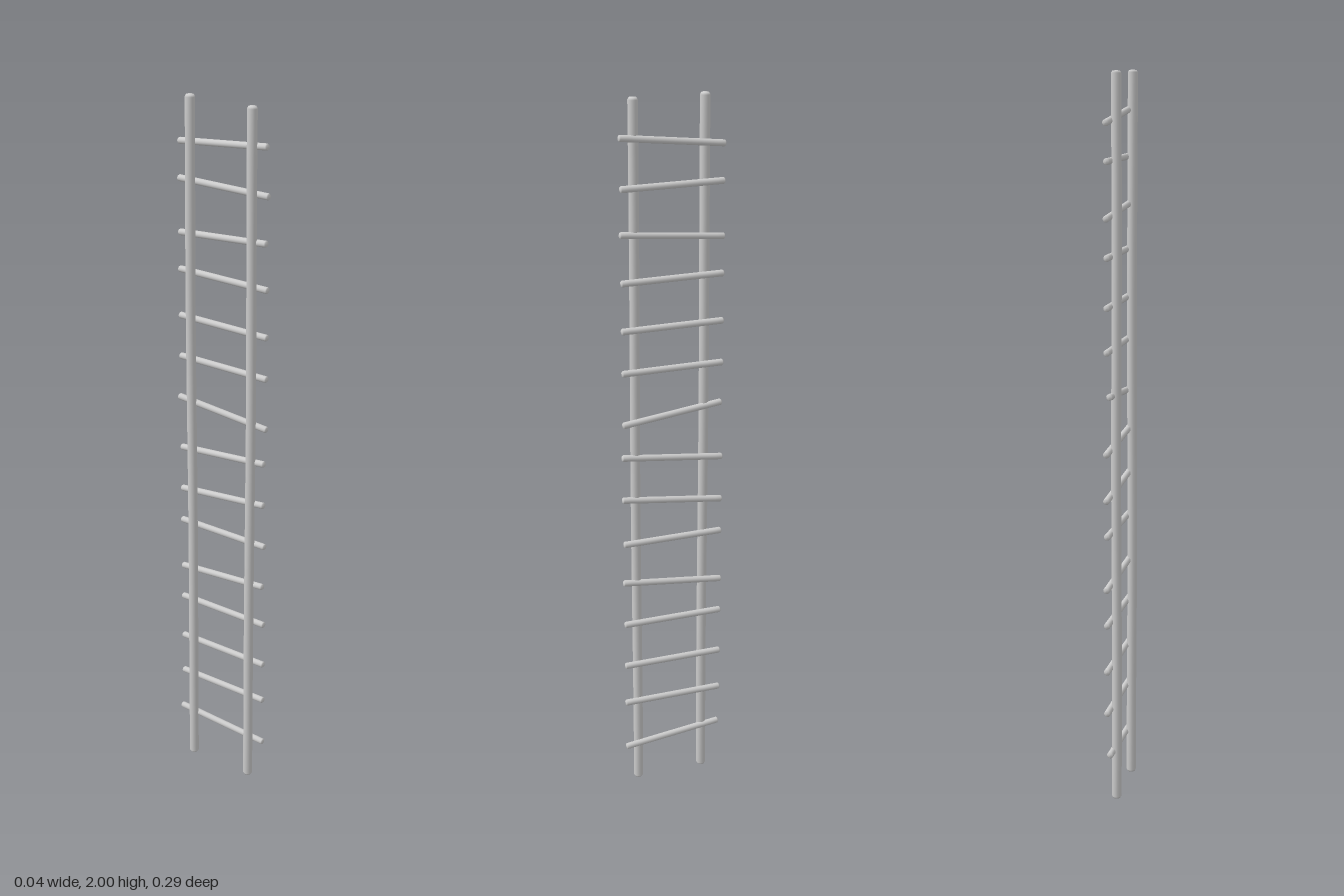
import * as THREE from 'three';

const material = new THREE.MeshStandardMaterial({ color: 0xcccccc });

// Round stick along y, centred, with softly rounded ends and a slight natural wobble
function stick(name, radius, length, round, wobble, phase) {
  const h = length / 2;
  const profile = [new THREE.Vector2(0, -h), new THREE.Vector2(radius * 0.75, -h + round * 0.2), new THREE.Vector2(radius, -h + round)];
  const steps = 16;
  for (let i = 1; i < steps; i++) profile.push(new THREE.Vector2(radius, -h + round + (length - 2 * round) * i / steps));
  profile.push(new THREE.Vector2(radius, h - round), new THREE.Vector2(radius * 0.75, h - round * 0.2), new THREE.Vector2(0, h));
  const geometry = new THREE.LatheGeometry(profile, 14);
  const p = geometry.attributes.position;
  for (let i = 0; i < p.count; i++) {
    const y = p.getY(i);
    p.setX(i, p.getX(i) + wobble * Math.sin(y * 5 + phase));
    p.setZ(i, p.getZ(i) + wobble * Math.cos(y * 4 + phase));
  }
  const mesh = new THREE.Mesh(geometry, material);
  mesh.name = name;
  return mesh;
}

export function createModel() {
  const ladder = new THREE.Group();
  ladder.name = 'ladder';

  // Two upright poles
  [['frontPole', 0.102, 0], ['backPole', -0.094, 2]].forEach(([name, z, phase]) => {
    const pole = stick(name, 0.0135, 2, 0.007, 0.001, phase);
    pole.position.set(-0.007, 1, z);
    ladder.add(pole);
  });

  // Rungs across the +x side: height at the front end and at the back end
  const rungs = [
    [0.12, 0.145], [0.265, 0.265], [0.385, 0.385], [0.517, 0.517], [0.645, 0.617],
    [0.768, 0.768], [0.9, 0.867], [1.025, 0.995], [1.123, 1.153], [1.27, 1.27],
    [1.388, 1.388], [1.52, 1.52], [1.648, 1.622], [1.77, 1.77], [1.9, 1.868],
  ];
  const up = new THREE.Vector3(0, 1, 0);
  rungs.forEach(([yFront, yBack], i) => {
    // Crooked rungs lean so that the lower end stands further out
    const lean = Math.sign(yFront - yBack) * 0.005;
    const x = lean ? 0.006 : 0.009;
    const front = new THREE.Vector3(x - lean, yFront, 0.144);
    const back = new THREE.Vector3(x + lean, yBack, -0.144);
    const direction = front.clone().sub(back);
    const rung = stick('rung' + (i + 1), 0.009, direction.length(), 0.004, 0.0004, i);
    rung.position.copy(front).add(back).multiplyScalar(0.5);
    rung.quaternion.setFromUnitVectors(up, direction.normalize());
    ladder.add(rung);
  });

  return ladder;
}
